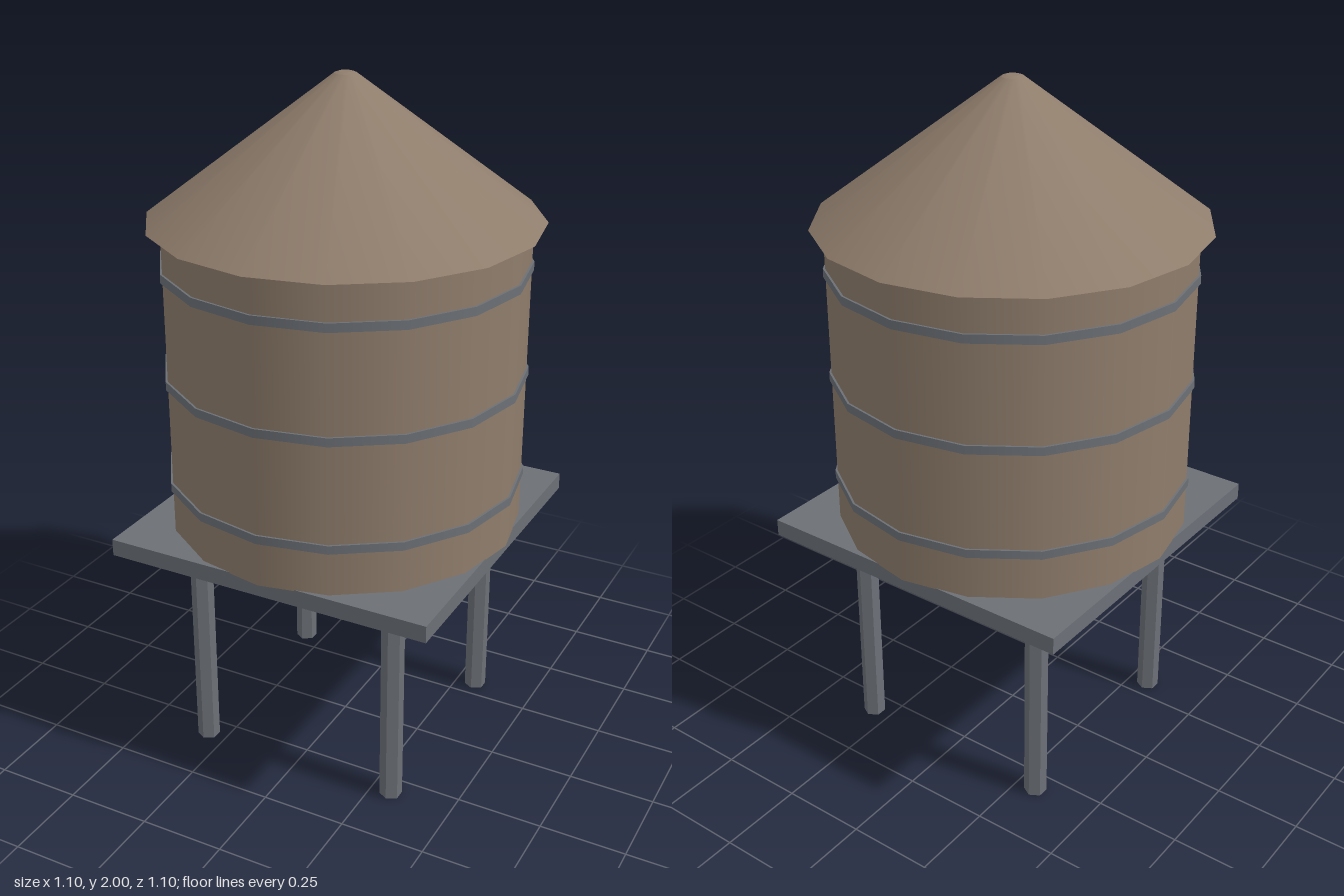
import * as THREE from 'three';

const SIDES = 16;

export function createModel() {
  const model = new THREE.Group();
  model.name = 'waterTower';

  const wood = new THREE.MeshStandardMaterial({ color: 0x8f7d6c });
  wood.name = 'weathered wood';
  const metal = new THREE.MeshStandardMaterial({ color: 0x6c7076 });
  metal.name = 'grey metal';

  const add = (name, geometry, material, x, y, z) => {
    const mesh = new THREE.Mesh(geometry, material);
    mesh.name = name;
    mesh.position.set(x, y, z);
    model.add(mesh);
    return mesh;
  };

  // Cylinder given by its bottom and top heights
  const drum = (name, rTop, rBottom, y0, y1, material) =>
    add(name, new THREE.CylinderGeometry(rTop, rBottom, y1 - y0, SIDES), material, 0, (y0 + y1) / 2, 0);

  // Tank
  drum('tank', 0.51, 0.51, 0.717, 1.607, wood);

  // Conical roof with a small blunt tip
  drum('roof', 0.03, 0.548, 1.605, 1.996, wood);
  drum('roofTip', 0.018, 0.03, 1.996, 2, wood);

  // Hoops around the tank
  for (const y of [0.86, 1.172, 1.482]) drum('hoop', 0.516, 0.516, y - 0.0125, y + 0.0125, metal);

  // Platform
  add('platform', new THREE.BoxGeometry(0.98, 0.05, 0.98), metal, 0, 0.695, 0);

  // Four hexagonal legs with hard edges
  const legGeometry = new THREE.CylinderGeometry(0.033, 0.033, 0.68, 6).toNonIndexed();
  legGeometry.computeVertexNormals();
  for (const x of [-0.311, 0.311]) {
    for (const z of [-0.311, 0.311]) add('leg', legGeometry, metal, x, 0.34, z);
  }

  return model;
}
